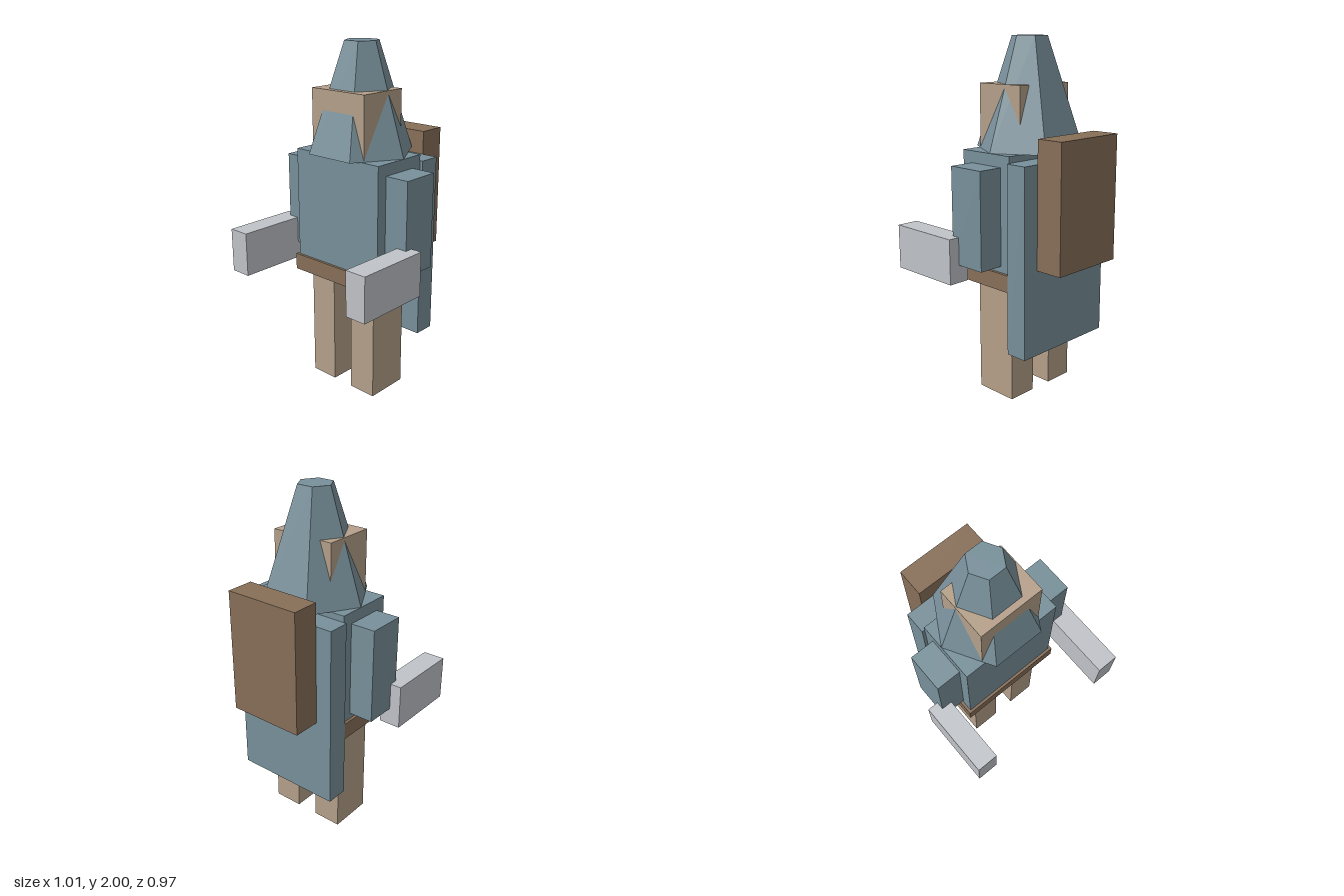
import * as THREE from 'three';

const material = (color) => new THREE.MeshStandardMaterial({ color, flatShading: true });

export function createModel() {
  const model = new THREE.Group();
  model.name = 'hoodedFigure';
  const cloth = material(0x78909a);
  const skin = material(0xb5a08a);
  const leather = material(0x876f58);
  const metal = material(0xc0c3c8);

  // Box spanning [min, max] on each axis
  const box = (name, mat, [x0, x1], [y0, y1], [z0, z1]) => {
    const mesh = new THREE.Mesh(new THREE.BoxGeometry(x1 - x0, y1 - y0, z1 - z0), mat);
    mesh.position.set((x0 + x1) / 2, (y0 + y1) / 2, (z0 + z1) / 2);
    mesh.name = name;
    model.add(mesh);
  };
  // Mirrored pair of boxes, given by the +x (left) one
  const pair = (name, mat, [x0, x1], y, z) => {
    box('left' + name, mat, [x0, x1], y, z);
    box('right' + name, mat, [-x1, -x0], y, z);
  };

  // Trunk and head
  box('torso', cloth, [-0.3, 0.3], [0.76, 1.4], [-0.2, 0.15]);
  box('belt', leather, [-0.316, 0.316], [0.67, 0.765], [-0.2, 0.165]);
  box('head', skin, [-0.188, 0.188], [1.4, 1.75], [-0.167, 0.135]);

  // Six-sided tapered hood, corners pointing to the sides
  const hood = new THREE.Mesh(new THREE.CylinderGeometry(0.098, 0.3, 0.6, 6, 1, false, Math.PI / 6), cloth);
  hood.position.set(0, 1.7, -0.056);
  hood.name = 'hood';
  model.add(hood);

  // Cape and backpack
  box('cape', cloth, [-0.317, 0.317], [0.32, 1.365], [-0.326, -0.2]);
  box('backpack', leather, [-0.222, 0.222], [0.8, 1.495], [-0.485, -0.326]);

  // Limbs
  pair('Arm', cloth, [0.3, 0.443], [0.8, 1.335], [-0.135, 0.087]);
  pair('Forearm', metal, [0.381, 0.507], [0.702, 0.955], [0.04, 0.483]);
  pair('Leg', skin, [0.066, 0.237], [0, 0.67], [-0.15, 0.105]);

  return model;
}
